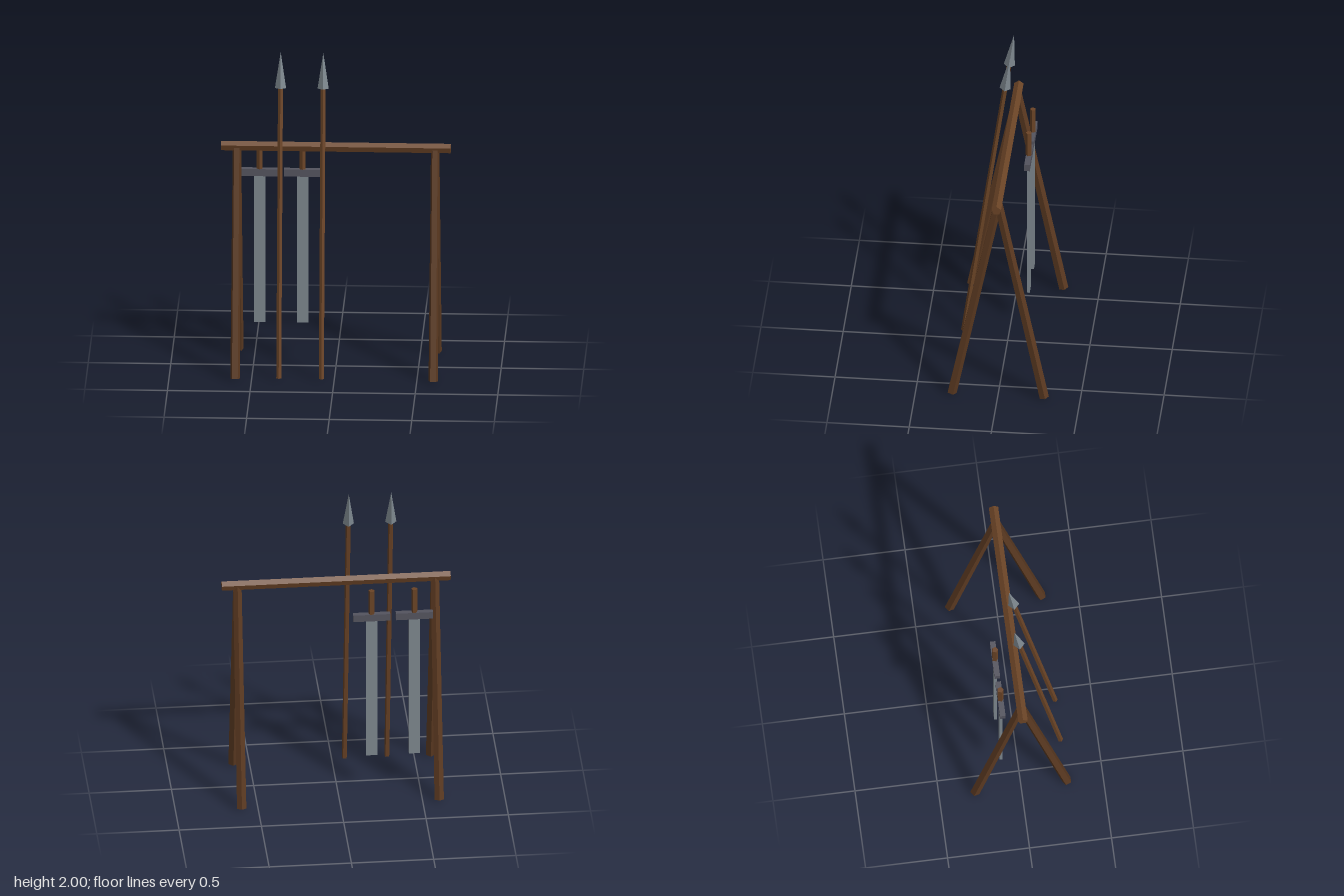
import * as THREE from 'three';

const paint = (color) => new THREE.MeshStandardMaterial({ color, flatShading: true });
const wood = paint(0x5c3a21);
const shaftWood = paint(0x6b4426);
const steel = paint(0x7d878e);
const guardMetal = paint(0x54545f);

const UP = new THREE.Vector3(0, 1, 0);

// Faceted rod running from point a (radius ra) to point b (radius rb)
function rod(name, a, b, ra, rb, sides, material) {
  const from = new THREE.Vector3(...a);
  const to = new THREE.Vector3(...b);
  const dir = to.clone().sub(from);
  const mesh = new THREE.Mesh(new THREE.CylinderGeometry(rb, ra, dir.length(), sides), material);
  mesh.name = name;
  mesh.position.copy(from).add(to).multiplyScalar(0.5);
  mesh.quaternion.setFromUnitVectors(UP, dir.normalize());
  return mesh;
}

function box(name, size, position, material) {
  const mesh = new THREE.Mesh(new THREE.BoxGeometry(...size), material);
  mesh.name = name;
  mesh.position.set(...position);
  return mesh;
}

// Spear leaning forward-footed against the beam
function spear(x) {
  const g = new THREE.Group();
  g.name = 'spear';
  const foot = [x, 0.01, 0.275];
  const neck = [x, 1.78, 0.023];
  const tip = [x, 2.0, -0.006];
  g.add(rod('spearShaft', foot, neck, 0.016, 0.016, 5, shaftWood));
  g.add(rod('spearHead', neck, tip, 0.034, 0, 4, steel));
  return g;
}

// Sword hanging point down behind the beam
function sword(x) {
  const g = new THREE.Group();
  g.name = 'sword';
  g.position.set(x, 0, -0.108);
  g.add(box('blade', [0.068, 0.94, 0.018], [0, 0.71, 0], steel));
  g.add(box('guard', [0.225, 0.045, 0.034], [0, 1.198, 0], guardMetal));
  g.add(rod('grip', [0, 1.22, 0], [0, 1.38, 0], 0.019, 0.019, 5, shaftWood));
  return g;
}

export function createModel() {
  const rack = new THREE.Group();
  rack.name = 'weaponRack';

  // Top beam with one ridge facing up
  const beam = new THREE.Mesh(new THREE.CylinderGeometry(0.03, 0.03, 1.39, 5), shaftWood);
  beam.name = 'beam';
  beam.rotation.set(-Math.PI / 2, 0, Math.PI / 2, 'XYZ');
  beam.position.y = 1.4;
  rack.add(beam);

  // A-frame leg pairs
  for (const x of [-0.6, 0.6]) {
    for (const z of [0.28, -0.28]) {
      rack.add(rod('leg', [x, 1.4, 0], [x, 0.006, z], 0.027, 0.03, 5, wood));
    }
  }

  for (const x of [-0.335, -0.077]) rack.add(spear(x));
  for (const x of [-0.466, -0.206]) rack.add(sword(x));
  return rack;
}
